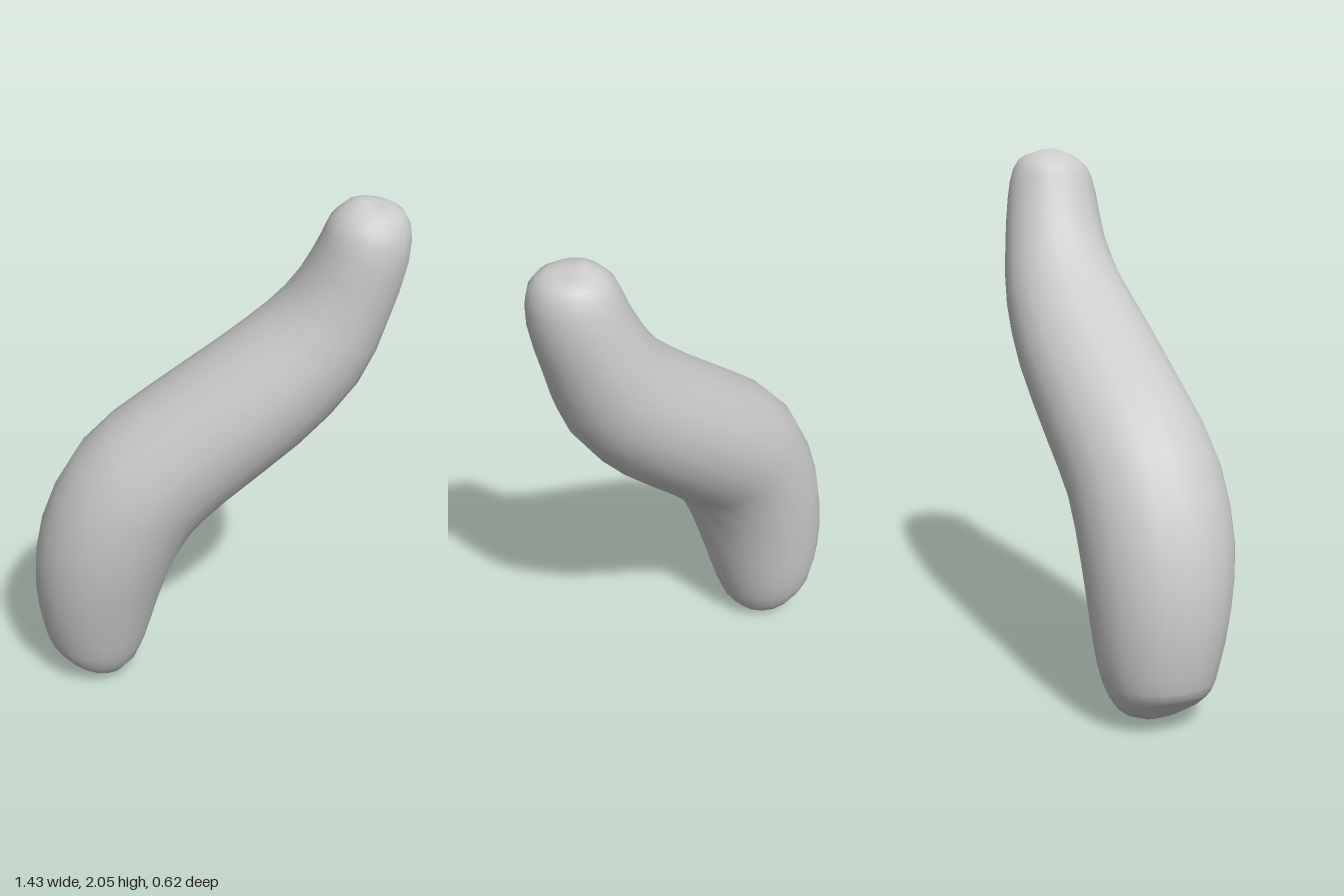
import * as THREE from 'three';
import { mergeVertices } from 'three/addons/utils/BufferGeometryUtils.js';

// Cross-sections from foot to tip: centre x, y, z, then half-width across and half-depth
const SECTIONS = [
  [-0.53, 0.0, -0.01, 0, 0],
  [-0.515, 0.02, 0.0, 0.12, 0.125],
  [-0.49, 0.08, 0.0, 0.185, 0.19],
  [-0.475, 0.2, 0.0, 0.22, 0.23],
  [-0.46, 0.38, 0.01, 0.255, 0.262],
  [-0.41, 0.6, 0.02, 0.276, 0.286],
  [-0.29, 0.84, 0.015, 0.28, 0.29],
  [-0.1, 1.02, -0.01, 0.267, 0.284],
  [0.18, 1.25, -0.04, 0.25, 0.27],
  [0.375, 1.45, -0.06, 0.225, 0.238],
  [0.48, 1.64, -0.065, 0.188, 0.203],
  [0.545, 1.82, -0.055, 0.167, 0.18],
  [0.56, 1.93, -0.055, 0.143, 0.15],
  [0.56, 1.985, -0.065, 0.085, 0.09],
  [0.565, 2.0, -0.07, 0, 0],
];
const SIDES = 20;

// Smooth skin lofted through the cross-sections, closed at both poles
function loft(sections, stepsPerSection) {
  const spline = (pick) =>
    new THREE.CatmullRomCurve3(sections.map((s) => new THREE.Vector3(...pick(s))), false, 'catmullrom', 0.5);
  const path = spline((s) => [s[0], s[1], s[2]]);
  const size = spline((s) => [s[3], s[4], 0]);
  const rings = (sections.length - 1) * stepsPerSection;
  const positions = [];
  const index = [];
  for (let i = 0; i <= rings; i++) {
    const c = path.getPoint(i / rings);
    const r = size.getPoint(i / rings);
    const t = path.getPoint(Math.min(1, (i + 1) / rings)).sub(path.getPoint(Math.max(0, (i - 1) / rings)));
    t.setZ(0).normalize();
    for (let j = 0; j < SIDES; j++) {
      const a = (j / SIDES) * Math.PI * 2;
      const across = Math.cos(a) * Math.max(0, r.x);
      positions.push(c.x + t.y * across, c.y - t.x * across, c.z + Math.sin(a) * Math.max(0, r.y));
      if (i === rings) continue;
      const p = i * SIDES + j;
      const q = i * SIDES + ((j + 1) % SIDES);
      if (i < rings - 1) index.push(p, p + SIDES, q + SIDES);
      if (i > 0) index.push(p, q + SIDES, q);
    }
  }
  let geometry = new THREE.BufferGeometry();
  geometry.setAttribute('position', new THREE.Float32BufferAttribute(positions, 3));
  geometry.setIndex(index);
  geometry = mergeVertices(geometry, 1e-5);
  geometry.computeVertexNormals();
  return geometry;
}

export function createModel() {
  const group = new THREE.Group();
  group.name = 'curvedBody';
  const body = new THREE.Mesh(loft(SECTIONS, 2), new THREE.MeshStandardMaterial({ color: 0xcccccc }));
  body.name = 'body';
  group.add(body);
  return group;
}
